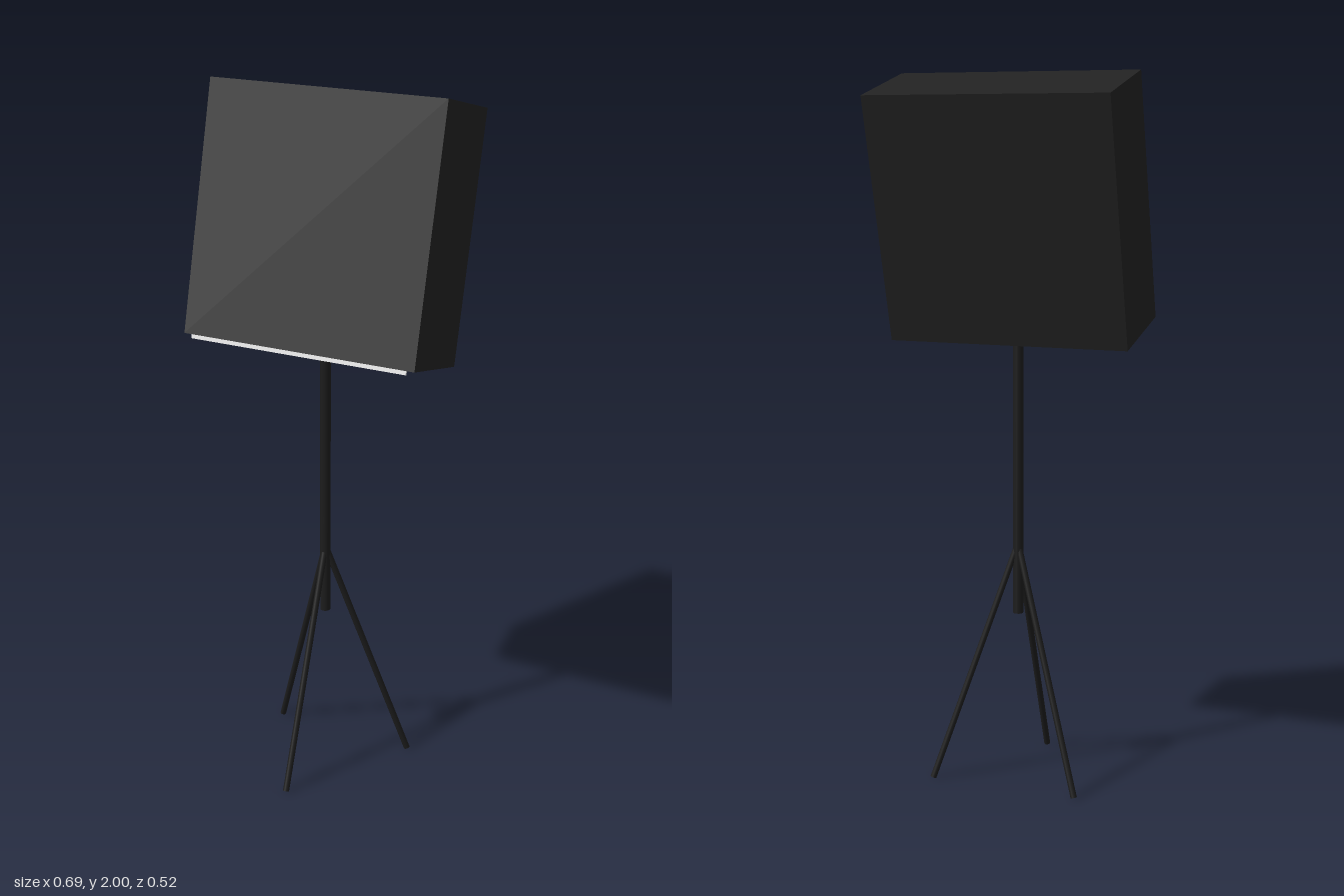
import * as THREE from 'three';

export function createModel() {
  const model = new THREE.Group();
  const housing = new THREE.MeshStandardMaterial({ color: 0x222222 });
  housing.name = 'black housing';
  const metal = new THREE.MeshStandardMaterial({ color: 0x1c1c1c });
  metal.name = 'dark metal';
  const diffuser = new THREE.MeshStandardMaterial({ color: 0xf2f2f2 });
  diffuser.name = 'white diffuser';

  const add = (parent, name, geometry, material, x = 0, y = 0, z = 0) => {
    const mesh = new THREE.Mesh(geometry, material);
    mesh.name = name;
    mesh.position.set(x, y, z);
    parent.add(mesh);
    return mesh;
  };

  // Round bar between two points
  const bar = (name, from, to, radius) => {
    const dir = to.clone().sub(from);
    const mid = from.clone().add(to).multiplyScalar(0.5);
    const mesh = add(model, name, new THREE.CylinderGeometry(radius, radius, dir.length(), 12), metal, mid.x, mid.y, mid.z);
    mesh.quaternion.setFromUnitVectors(new THREE.Vector3(0, 1, 0), dir.normalize());
  };

  // Lamp head, leaning back on the pole
  const width = 0.692, height = 0.69, depth = 0.268;
  const head = new THREE.Group();
  head.name = 'lampHead';
  head.position.set(0, 1.6325, -0.044);
  head.rotation.x = -0.25;
  model.add(head);
  add(head, 'softbox', new THREE.BoxGeometry(width, height, depth), housing);

  // Lower edge of the diffuser panel, showing under the front of the box
  add(head, 'diffuserEdge', new THREE.BoxGeometry(0.645, 0.012, 0.006), diffuser,
    0, -height / 2 - 0.005, depth / 2 - 0.003);

  // Pole
  bar('pole', new THREE.Vector3(0, 0.485, 0), new THREE.Vector3(0, 1.45, 0), 0.015);

  // Three spread legs, one pointing forward
  const apex = new THREE.Vector3(0, 0.69, 0);
  for (let i = 0; i < 3; i++) {
    const a = (i * Math.PI * 2) / 3;
    bar('tripodLeg' + (i + 1), apex, new THREE.Vector3(Math.sin(a) * 0.248, 0.003, Math.cos(a) * 0.248), 0.009);
  }

  return model;
}
